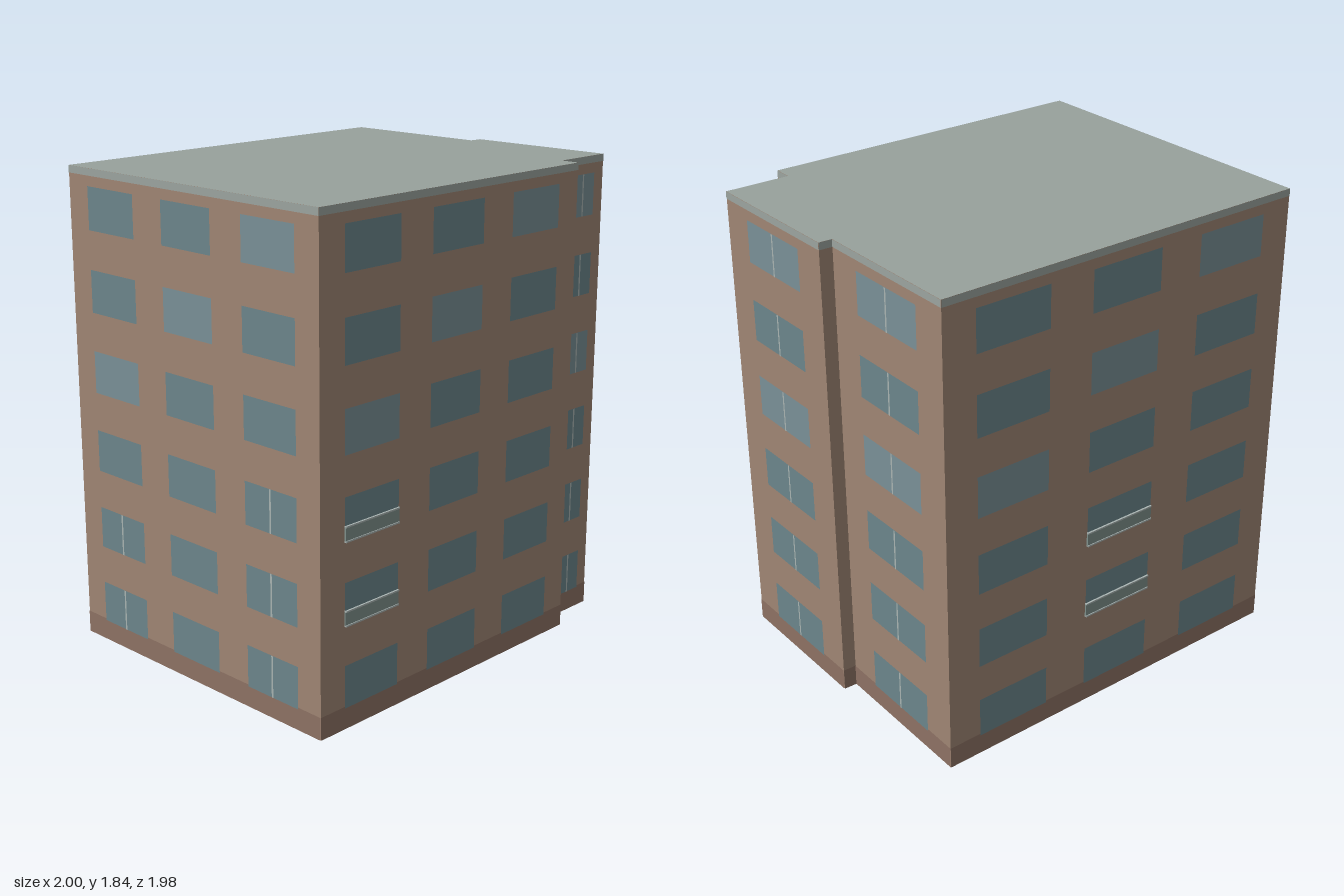
import * as THREE from 'three';

const HEIGHT = 1.835;
const FLOORS = 6;
const FLOOR_PITCH = 0.306;
const SILL = 0.08;
const WINDOW_H = 0.16;

const mat = (color, side = THREE.FrontSide) => new THREE.MeshStandardMaterial({ color, side });
const brick = mat(0xa08674, THREE.DoubleSide);
const plinthMat = mat(0x8e7264);
const roofMat = mat(0x98a19c, THREE.DoubleSide);
const corniceMat = mat(0x9ca5a0);
const glass = mat(0x6c868c);
const paleGlass = mat(0x7a9097);
const frameMat = mat(0xa9b4b2);
const panelMat = mat(0x7f908c);

// Footprint corners [x, z], left to right as each wall is seen from outside
const corners = [
  [-1, -0.005], [-0.18, 0.985], [0.85, 0.13], [0.803, 0.073],
  [1, -0.088], [0.612, -0.55], [0.571, -0.518], [0.18, -0.99],
];

// Window columns as [start, end] fractions of the wall length
const three = [[0.085, 0.283], [0.402, 0.6], [0.719, 0.916]];
const pair = [[0.23, 0.78]];
const always = () => true;
const never = () => false;
const walls = [
  { name: 'leftWall', columns: three, mullion: (f, c) => (c === 0 && f < 2) || (c === 2 && f < 3) },
  { name: 'frontWall', columns: three, mullion: never, balcony: 0 },
  { name: 'frontStepWall', columns: [] },
  { name: 'bayFrontWall', columns: [[0.24, 0.78]], mullion: always },
  { name: 'baySideWall', columns: pair, mullion: always },
  { name: 'backStepWall', columns: [] },
  { name: 'rightWall', columns: pair, mullion: always },
  { name: 'backWall', columns: three, mullion: never, balcony: 1 },
];

// Flat panel in a wall's own plane, spanning x0..x1 and y0..y1
function panel(name, x0, x1, y0, y1, z, material) {
  const mesh = new THREE.Mesh(new THREE.PlaneGeometry(x1 - x0, y1 - y0), material);
  mesh.position.set((x0 + x1) / 2, (y0 + y1) / 2, z);
  mesh.name = name;
  return mesh;
}

function bar(name, x0, x1, y0, y1, depth, material) {
  const mesh = new THREE.Mesh(new THREE.BoxGeometry(x1 - x0, y1 - y0, depth), material);
  mesh.position.set((x0 + x1) / 2, (y0 + y1) / 2, depth / 2);
  mesh.name = name;
  return mesh;
}

// Shallow balcony guard: glazed panel between two rails
function balcony(x0, x1, y) {
  const group = new THREE.Group();
  group.name = 'balcony';
  group.add(
    bar('balconyPanel', x0, x1, y, y + 0.052, 0.007, panelMat),
    bar('balconyRail', x0, x1, y + 0.05, y + 0.056, 0.01, frameMat),
    bar('balconyBase', x0, x1, y - 0.003, y + 0.003, 0.01, frameMat),
  );
  return group;
}

function buildWall(spec, start, end) {
  const dx = end[0] - start[0];
  const dz = end[1] - start[1];
  const length = Math.hypot(dx, dz);
  const wall = new THREE.Group();
  wall.name = spec.name;
  wall.position.set(start[0], 0, start[1]);
  wall.rotation.y = Math.atan2(-dz, dx);

  wall.add(
    panel('brickwork', 0, length, 0, HEIGHT, 0, brick),
    panel('plinth', 0, length, 0, 0.086, 0.0015, plinthMat),
    panel('cornice', 0, length, HEIGHT - 0.027, HEIGHT, 0.0015, corniceMat),
  );

  // Windows, with a few paler panes and central mullions
  spec.columns.forEach(([a, b], c) => {
    const x0 = a * length;
    const x1 = b * length;
    const mid = (x0 + x1) / 2;
    for (let f = 0; f < FLOORS; f++) {
      const y = SILL + f * FLOOR_PITCH;
      const pale = f - c === 3 || (spec.columns.length === 1 && f === 5);
      wall.add(panel('window', x0, x1, y, y + WINDOW_H, 0.003, pale ? paleGlass : glass));
      if (spec.mullion(f, c)) {
        wall.add(panel('mullion', mid - 0.004, mid + 0.004, y, y + WINDOW_H, 0.0045, frameMat));
      }
      if (spec.balcony === c && (f === 1 || f === 2)) wall.add(balcony(x0, x1, y + 0.003));
    }
  });
  return wall;
}

export function createModel() {
  const building = new THREE.Group();
  building.name = 'apartmentBlock';

  walls.forEach((spec, i) => {
    building.add(buildWall(spec, corners[i], corners[(i + 1) % corners.length]));
  });

  // Flat roof over the whole footprint
  const outline = new THREE.Shape(corners.map(([x, z]) => new THREE.Vector2(x, -z)));
  const roof = new THREE.Mesh(new THREE.ShapeGeometry(outline).rotateX(-Math.PI / 2), roofMat);
  roof.position.y = HEIGHT;
  roof.name = 'roof';
  building.add(roof);

  return building;
}
